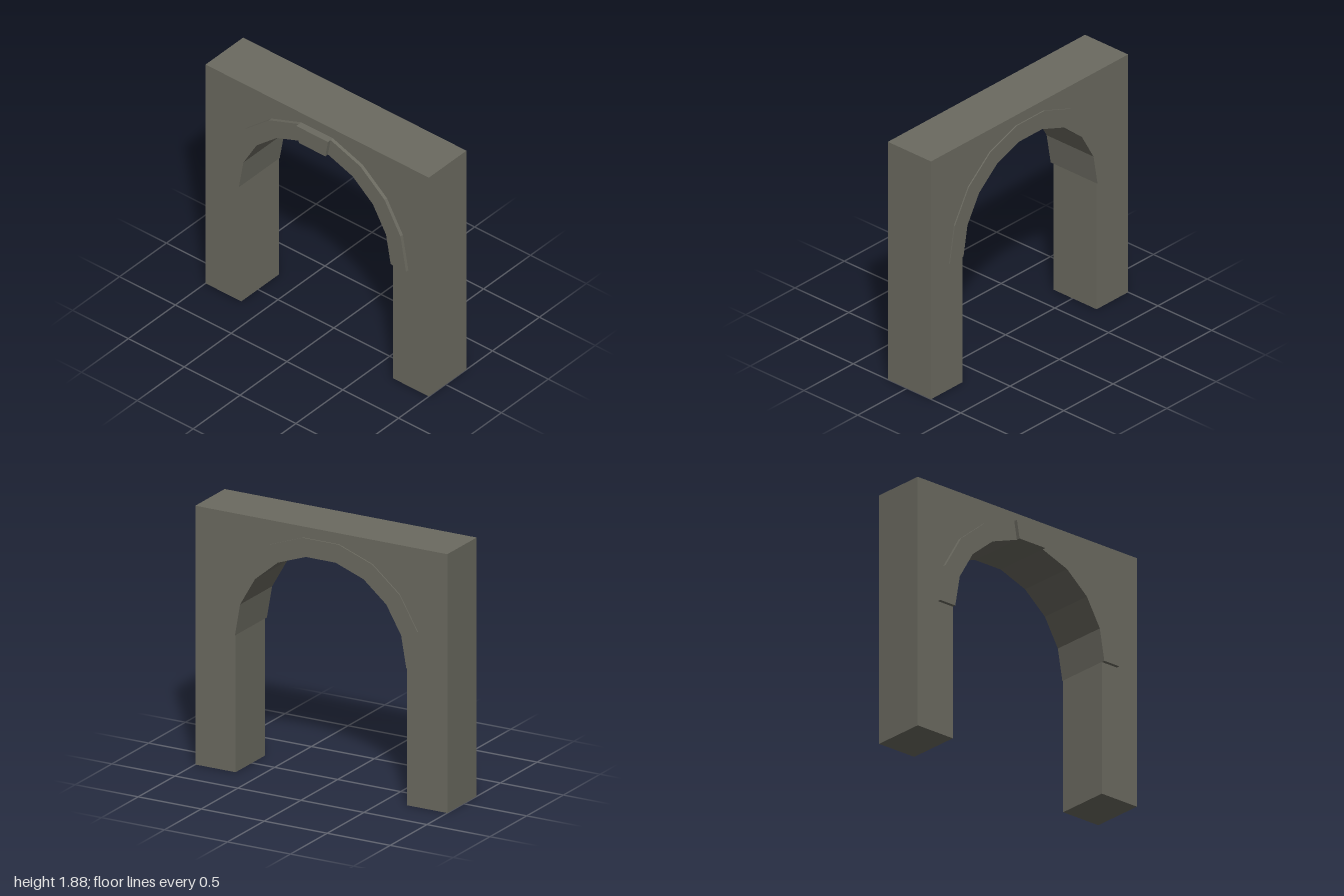
import * as THREE from 'three';

const SPRING = 0.996, INNER = 0.68, OUTER = 0.817, SEGMENTS = 9;
const WALL_BACK = -0.223, WALL_FRONT = 0.178;

// Points along the faceted arch, counter-clockwise from segment a to segment b
function arc(radius, a = 0, b = SEGMENTS) {
  const points = [];
  for (let i = a; i <= b; i++) {
    const t = (i / SEGMENTS) * Math.PI;
    points.push(new THREE.Vector2(radius * Math.cos(t), SPRING + radius * Math.sin(t)));
  }
  return points;
}

export function createModel() {
  const group = new THREE.Group();
  const stone = new THREE.MeshStandardMaterial({ color: 0x6b6a60 });
  stone.name = 'grey stone';

  function slab(name, points, z0, z1) {
    const geometry = new THREE.ExtrudeGeometry(new THREE.Shape(points), { depth: z1 - z0, bevelEnabled: false });
    geometry.translate(0, 0, z0);
    const mesh = new THREE.Mesh(geometry, stone);
    mesh.name = name;
    group.add(mesh);
  }

  const ring = (a, b) => [...arc(OUTER, a, b), ...arc(INNER, a, b).reverse()];
  const v = (x, y) => new THREE.Vector2(x, y);

  // Wall with two piers and the arched opening
  slab('archWall', [
    v(INNER, 0), v(1, 0), v(1, 1.88), v(-1, 1.88), v(-1, 0), v(-INNER, 0),
    ...arc(INNER).reverse(),
  ], WALL_BACK, WALL_FRONT);

  // Raised bands around the opening
  slab('frontArchBand', ring(0, SEGMENTS), WALL_FRONT, 0.204);
  slab('backArchBand', ring(0, SEGMENTS), -0.232, WALL_BACK);

  // Keystone over the middle segment
  slab('keystone', ring(4, 5), 0.204, 0.232);

  return group;
}
